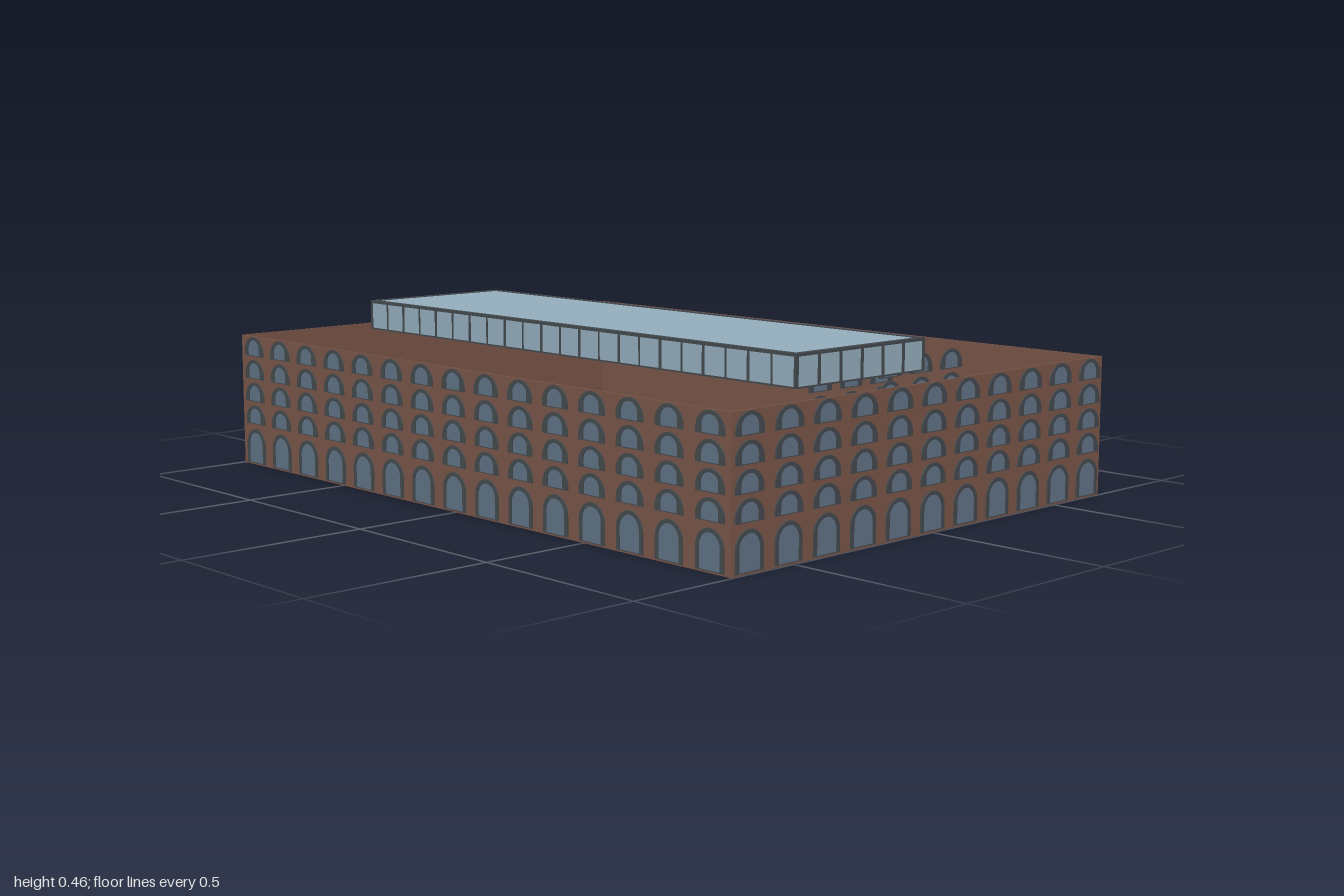
import * as THREE from 'three';
import { mergeGeometries } from 'three/addons/utils/BufferGeometryUtils.js';

const mat = (name, color) => {
  const m = new THREE.MeshStandardMaterial({ color });
  m.name = name;
  return m;
};

export function createModel() {
  const brick = mat('brick', 0x795548);
  const dark = mat('darkFrame', 0x43494d);
  const pane = mat('windowGlass', 0x607285);
  const sky = mat('roofGlass', 0x94acbc);
  const root = new THREE.Group();
  root.name = 'arcadeBuilding';

  const add = (parent, name, geometry, material) => {
    const m = new THREE.Mesh(geometry, material);
    m.name = name;
    parent.add(m);
    return m;
  };
  const box = (w, h, d, x, y, z) => new THREE.BoxGeometry(w, h, d).translate(x, y, z);

  // Arched outline: straight jambs, then a half ellipse
  const arch = (Type, half, y0, height, rise) => {
    const p = new Type();
    const spring = y0 + height - rise;
    p.moveTo(-half, y0);
    p.lineTo(half, y0);
    p.lineTo(half, spring);
    p.absellipse(0, spring, half, rise, 0, Math.PI, false, 0);
    p.lineTo(-half, y0);
    return p;
  };
  const extrude = (shape, depth) =>
    new THREE.ExtrudeGeometry(shape, { depth, bevelEnabled: false, curveSegments: 10 });

  // One column of windows: a tall ground opening and four upper ones
  const frames = [], panes = [];
  const opening = (y, half, height, rise, gHalf, gHeight, gRise) => {
    const s = arch(THREE.Shape, half, y, height, rise);
    s.holes.push(arch(THREE.Path, gHalf, y + 0.002, gHeight, gRise));
    frames.push(extrude(s, 0.004));
    panes.push(extrude(arch(THREE.Shape, gHalf, y + 0.002, gHeight, gRise), 0.002));
  };
  opening(0.005, 0.045, 0.1, 0.045, 0.034, 0.088, 0.032);
  for (let i = 0; i < 4; i++) opening(0.12 + i * 0.066, 0.046, 0.055, 0.044, 0.028, 0.044, 0.022);
  const frameColumn = mergeGeometries(frames);
  const paneColumn = mergeGeometries(panes);

  // A row of window columns facing local +z
  const facade = (name, count, spacing, angle, x, z) => {
    const g = new THREE.Group();
    g.name = name;
    const repeat = (geo) => mergeGeometries(Array.from({ length: count }, (_, i) =>
      geo.clone().translate((i - (count - 1) / 2) * spacing, 0, 0)));
    add(g, 'archFrames', repeat(frameColumn), dark);
    add(g, 'archPanes', repeat(paneColumn), pane);
    g.rotation.y = angle;
    g.position.set(x, 0, z);
    root.add(g);
  };

  // Outer walls, open at top and bottom
  const W = 0.996, D = 0.702, H = 0.375, T = 0.006;
  for (const s of [-1, 1]) {
    add(root, s > 0 ? 'frontWall' : 'backWall', box(2 * W, H, T, 0, H / 2, s * (D - T / 2)), brick);
    add(root, s > 0 ? 'leftWall' : 'rightWall', box(T, H, 2 * (D - T), s * (W - T / 2), H / 2, 0), brick);
  }
  facade('frontWindows', 15, 0.133, 0, 0, D);
  facade('backWindows', 15, 0.133, Math.PI, 0, -D);
  facade('leftWindows', 11, 0.129, Math.PI / 2, W, 0);
  facade('rightWindows', 11, 0.129, -Math.PI / 2, -W, 0);

  // Free-standing window columns in the courtyard
  for (const x of [0.354, 0.604]) facade('courtyardWindows', 3, 0.129, Math.PI / 2, x, -0.425);

  // Glazed hall above the courtyard, open underneath
  const hall = new THREE.Group();
  hall.name = 'glassHall';
  hall.position.set(-0.004, H, 0.103);
  root.add(hall);
  const hw = 0.858, hd = 0.238, hh = 0.085, rim = 0.016;
  const metal = [], glass = [];
  for (const s of [-1, 1]) {
    // inner lining, glazing, and top and bottom rails on each side
    metal.push(box(2 * hw - 0.008, hh - 0.004, 0.004, 0, hh / 2, s * (hd - 0.006)));
    metal.push(box(0.004, hh - 0.004, 2 * hd - 0.008, s * (hw - 0.006), hh / 2, 0));
    glass.push(box(2 * hw - 0.006, hh - 0.004, 0.002, 0, hh / 2, s * (hd - 0.003)));
    glass.push(box(0.002, hh - 0.004, 2 * hd - 0.006, s * (hw - 0.003), hh / 2, 0));
    metal.push(box(2 * hw, 0.008, rim, 0, hh - 0.004, s * (hd - rim / 2)));
    metal.push(box(rim, 0.008, 2 * (hd - rim), s * (hw - rim / 2), hh - 0.004, 0));
    metal.push(box(2 * hw, 0.004, 0.004, 0, 0.002, s * (hd - 0.002)));
    metal.push(box(0.004, 0.004, 2 * hd - 0.008, s * (hw - 0.002), 0.002, 0));
    // mullions
    for (let i = 0; i <= 22; i++) {
      const w = i % 2 ? 0.005 : 0.008;
      metal.push(box(w, hh - 0.008, 0.004, (i / 11 - 1) * (hw - 0.004), hh / 2 - 0.002, s * (hd - 0.002)));
    }
    for (let i = 0; i <= 6; i++)
      metal.push(box(0.004, hh - 0.008, 0.009, s * (hw - 0.002), hh / 2 - 0.002, (i / 3 - 1) * (hd - 0.0045)));
  }
  glass.push(box(2 * (hw - rim), 0.004, 2 * (hd - rim), 0, hh - 0.004, 0));
  add(hall, 'hallFrame', mergeGeometries(metal), dark);
  add(hall, 'hallGlazing', mergeGeometries(glass), sky);

  return root;
}
